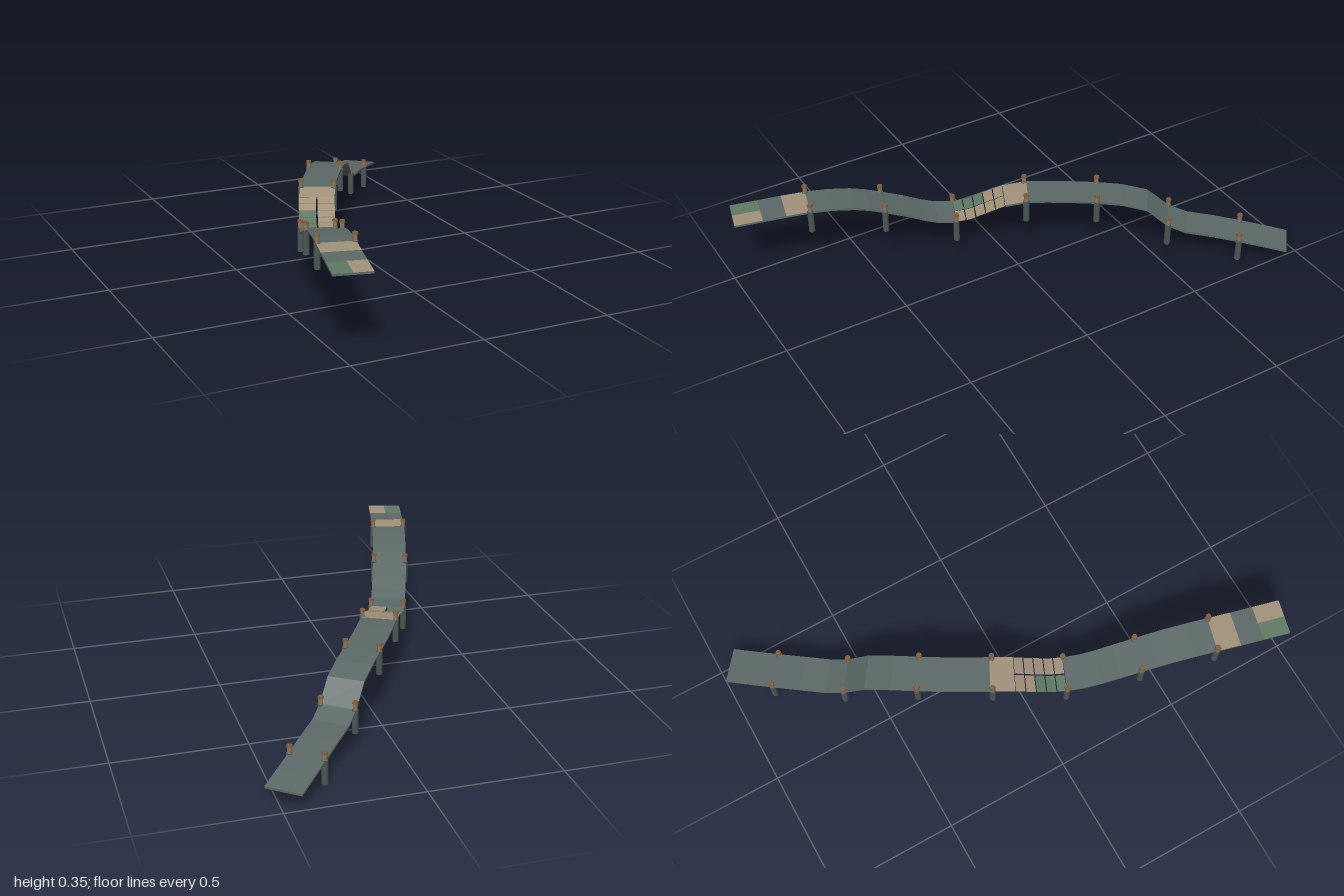
import * as THREE from 'three';

const mat = (name, color) => {
  const m = new THREE.MeshStandardMaterial({ color });
  m.name = name;
  return m;
};

// Centre line through the post pairs as x, z
const centre = [[-0.48, 0.982], [-0.408, 0.70], [-0.325, 0.423], [-0.23, 0.158], [-0.113, -0.10],
  [0.03, -0.345], [0.193, -0.583], [0.368, -0.81], [0.489, -0.958]];
const path = new THREE.CatmullRomCurve3(centre.map(([x, z]) => new THREE.Vector3(x, 0, z)));

// Deck height at stations along the path
const heights = [[0, 0.311], [0.37, 0.313], [0.68, 0.315], [1, 0.316], [1.3, 0.312], [1.6, 0.3],
  [1.8, 0.285], [2, 0.265], [2.3, 0.234], [2.55, 0.204], [2.75, 0.185], [3, 0.178], [3.2, 0.184],
  [3.45, 0.21], [3.7, 0.236], [4, 0.25], [4.3, 0.25], [4.65, 0.247], [5, 0.244], [5.35, 0.237],
  [5.7, 0.215], [6, 0.145], [6.25, 0.117], [6.6, 0.107], [7, 0.092], [7.5, 0.077], [8, 0.062]];

function heightAt(t) {
  for (let i = 1; i < heights.length; i++) {
    const [a, ya] = heights[i - 1], [b, yb] = heights[i];
    if (t <= b) return ya + (yb - ya) * (t - a) / (b - a);
  }
  return heights[heights.length - 1][1];
}

// Point on the deck: t along, u across in units, dy above the surface
function deckPoint(t, u, dy = 0) {
  const p = path.getPoint(t / 8), d = path.getTangent(t / 8);
  return new THREE.Vector3(p.x - d.z * u, heightAt(t) + dy, p.z + d.x * u);
}

// Closed slab following the deck; group 0 is the top, group 1 the rest
function slab(t0, t1, u0, u1, thickness) {
  const ts = [t0, ...heights.map(h => h[0]).filter(t => t > t0 + 0.01 && t < t1 - 0.01), t1];
  const rings = ts.map(t => [deckPoint(t, u0), deckPoint(t, u1),
    deckPoint(t, u1, -thickness), deckPoint(t, u0, -thickness)]);
  const pos = [];
  const quad = (a, b, c, d) => [a, b, c, a, c, d].forEach(v => pos.push(v.x, v.y, v.z));
  const side = k => {
    for (let i = 1; i < rings.length; i++) {
      const p = rings[i - 1], q = rings[i], n = (k + 1) % 4;
      quad(p[k], p[n], q[n], q[k]);
    }
  };
  side(0);
  const topCount = pos.length / 3;
  [1, 2, 3].forEach(side);
  const s = rings[0], e = rings[rings.length - 1];
  quad(s[3], s[2], s[1], s[0]);
  quad(e[0], e[1], e[2], e[3]);
  const g = new THREE.BufferGeometry();
  g.setAttribute('position', new THREE.Float32BufferAttribute(pos, 3));
  g.addGroup(0, topCount, 0);
  g.addGroup(topCount, pos.length / 3 - topCount, 1);
  g.computeVertexNormals();
  return g;
}

export function createModel() {
  const slate = mat('slate deck', 0x5b6967);
  const tan = mat('weathered tan', 0xa29279);
  const green = mat('mossy green', 0x5f7a64);
  const postMat = mat('post slate', 0x4b5856);
  const neckMat = mat('neck brown', 0x8f7859);
  const brown = mat('brown cap', 0x7f5c3e);

  const model = new THREE.Group();
  model.name = 'walkway';
  const W = 0.069;
  const add = (name, geo, m, parent = model) => {
    const mesh = new THREE.Mesh(geo, m);
    mesh.name = name;
    parent.add(mesh);
    return mesh;
  };
  const deck = (name, t0, t1, top, u0 = -W, u1 = W) =>
    add(name, slab(t0, t1, u0, u1, 0.008), [top, slate]);

  // Solid deck sections
  deck('entryPanelRight', 0, 0.37, green, -W, 0);
  deck('entryPanelLeft', 0, 0.37, tan, 0, W);
  deck('entryDeck', 0.37, 0.68, slate);
  deck('entryTanBand', 0.68, 1, tan);
  deck('upperDeck', 1, 3, slate);
  deck('middleTanBand', 3.7, 4.03, tan);
  deck('lowerDeck', 4.03, 8, slate);

  // Open section: two columns of separate planks
  const planks = new THREE.Group();
  planks.name = 'planks';
  model.add(planks);
  const rows = 5, step = 0.7 / rows, gap = 0.007;
  for (let r = 0; r < rows; r++) {
    const t0 = 3 + r * step + gap, t1 = 3 + (r + 1) * step - gap;
    for (const s of [-1, 1]) {
      const m = s < 0 && r < 3 ? green : tan;
      const u0 = s < 0 ? -W : 0.003, u1 = s < 0 ? -0.003 : W;
      add('plank', slab(t0, t1, u0, u1, 0.003), [m, m], planks);
    }
  }

  // Post pairs with a neck and a cap
  const shaft = new THREE.CylinderGeometry(0.0125, 0.0125, 0.092, 8);
  const neck = new THREE.CylinderGeometry(0.009, 0.009, 0.026, 8);
  const cap = new THREE.CylinderGeometry(0.0105, 0.012, 0.008, 8);
  for (let t = 1; t <= 7; t++) {
    for (const s of [-1, 1]) {
      const post = new THREE.Group();
      post.name = 'post';
      post.position.copy(deckPoint(t, s * 0.065));
      add('shaft', shaft, postMat, post).position.y = -0.046;
      add('neck', neck, neckMat, post).position.y = 0.012;
      add('cap', cap, brown, post).position.y = 0.028;
      model.add(post);
    }
  }
  return model;
}
